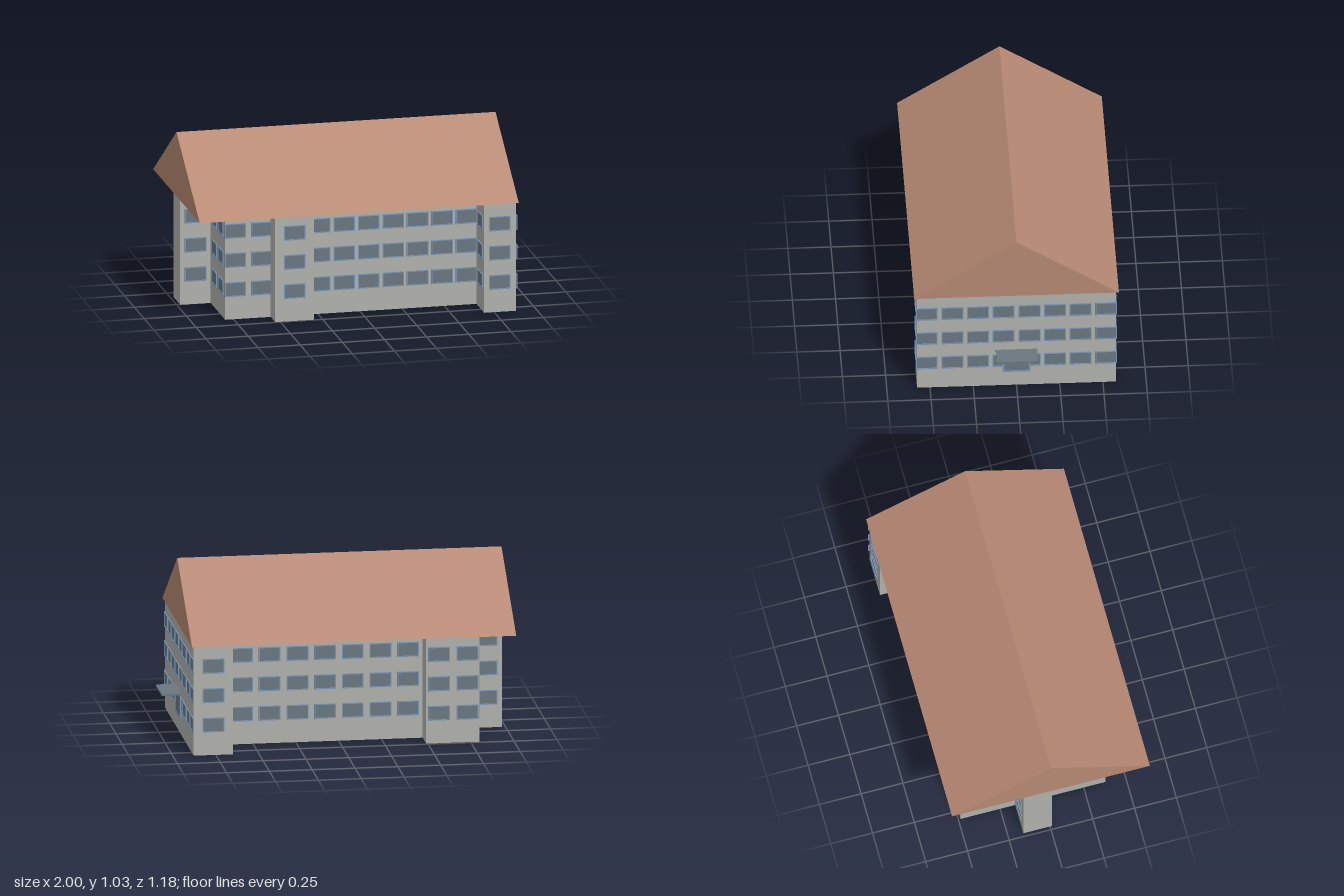
import * as THREE from 'three';

const mat = (name, color) => {
  const m = new THREE.MeshStandardMaterial({ color });
  m.name = name;
  return m;
};

export function createModel() {
  const wall = mat('wall grey', 0xb0b0ac);
  const roofTile = mat('roof terracotta', 0xb58872);
  const glass = mat('slate glass', 0x6a7680);
  const trim = mat('frame blue', 0x7895b5);

  const model = new THREE.Group();
  model.name = 'building';
  const add = (parent, name, geo, material) => {
    const m = new THREE.Mesh(geo, material);
    m.name = name;
    parent.add(m);
    return m;
  };
  const outline = pts => new THREE.Shape(pts.map(p => new THREE.Vector2(...p)));
  const extrude = (shape, depth) => new THREE.ExtrudeGeometry(shape, { depth, bevelEnabled: false });

  // Walls: stepped floor plan given as [x, z], extruded upwards
  const plan = [
    [0.88, 0.575], [0.69, 0.575], [0.69, 0.38], [-0.30, 0.38], [-0.30, 0.495], [-0.53, 0.495],
    [-0.53, 0.38], [-0.80, 0.38], [-0.80, 0.01], [-0.98, 0.01], [-0.98, -0.16], [-0.80, -0.16],
    [-0.80, -0.487], [-0.49, -0.487], [-0.49, -0.345], [0.65, -0.345], [0.65, -0.575], [0.88, -0.575],
  ];
  const walls = extrude(outline(plan.map(([x, z]) => [x, -z])), 0.65);
  walls.rotateX(-Math.PI / 2);
  add(model, 'walls', walls, wall);

  // Gabled roof: solid triangular prism running along x
  const roof = extrude(outline([[-0.592, 0.65], [0.592, 0.65], [0, 1.035]]), 1.892);
  roof.rotateY(Math.PI / 2);
  roof.translate(-1, 0, 0);
  add(model, 'roof', roof, roofTile);

  // Frame ring with a pane set inside it, facing +z
  const ring = (w, h, t, depth) => {
    const rect = (a, b) => [[-a, -b], [a, -b], [a, b], [-a, b]];
    const s = outline(rect(w / 2, h / 2));
    s.holes.push(outline(rect(w / 2 - t, h / 2 - t)));
    return extrude(s, depth);
  };
  const frameGeo = ring(0.127, 0.087, 0.006, 0.006);
  const paneGeo = new THREE.BoxGeometry(0.116, 0.076, 0.004);

  // Places one column of windows, one for each floor
  const floors = [0.18, 0.355, 0.53];
  const windowColumn = (x, z, angle) => {
    for (const y of floors) {
      const g = new THREE.Group();
      g.name = 'window';
      add(g, 'windowFrame', frameGeo, trim);
      add(g, 'windowPane', paneGeo, glass);
      g.position.set(x, y, z);
      g.rotation.y = angle;
      model.add(g);
    }
  };
  const series = (n, first, last) =>
    Array.from({ length: n }, (_, i) => (n === 1 ? first : first + (last - first) * i / (n - 1)));

  // Windows facing along z: [wall z, count, first x, last x, angle]
  const F = 0, B = Math.PI;
  for (const [z, n, a, b, angle] of [
    [0.575, 1, 0.782, 0, F], [0.38, 7, -0.24, 0.63, F], [0.495, 1, -0.415, 0, F],
    [0.38, 2, -0.74, -0.582, F], [0.01, 1, -0.89, 0, F],
    [-0.575, 1, 0.765, 0, B], [-0.345, 7, 0.565, -0.405, B],
    [-0.487, 2, -0.565, -0.73, B], [-0.16, 1, -0.89, 0, B],
  ]) series(n, a, b).forEach(x => windowColumn(x, z, angle));

  // Windows facing along x: [wall x, count, first z, last z, angle]
  const L = Math.PI / 2, R = -Math.PI / 2;
  for (const [x, n, a, b, angle] of [
    [0.88, 8, 0.519, -0.519, L], [0.69, 1, 0.478, 0, R], [0.65, 1, -0.46, 0, R],
    [-0.80, 2, -0.405, -0.245, R], [-0.80, 2, 0.115, 0.275, R],
  ]) series(n, a, b).forEach(z => windowColumn(x, z, angle));

  // Entrance door on the end wall, with a flat canopy above
  const door = new THREE.Group();
  door.name = 'entranceDoor';
  add(door, 'doorFrame', ring(0.164, 0.14, 0.011, 0.009), trim);
  add(door, 'doorPanel', new THREE.BoxGeometry(0.144, 0.136, 0.016), glass);
  door.position.set(0.88, 0.17, 0);
  door.rotation.y = L;
  model.add(door);
  add(model, 'canopy', new THREE.BoxGeometry(0.12, 0.01, 0.24), glass).position.set(0.94, 0.25, 0);

  return model;
}
